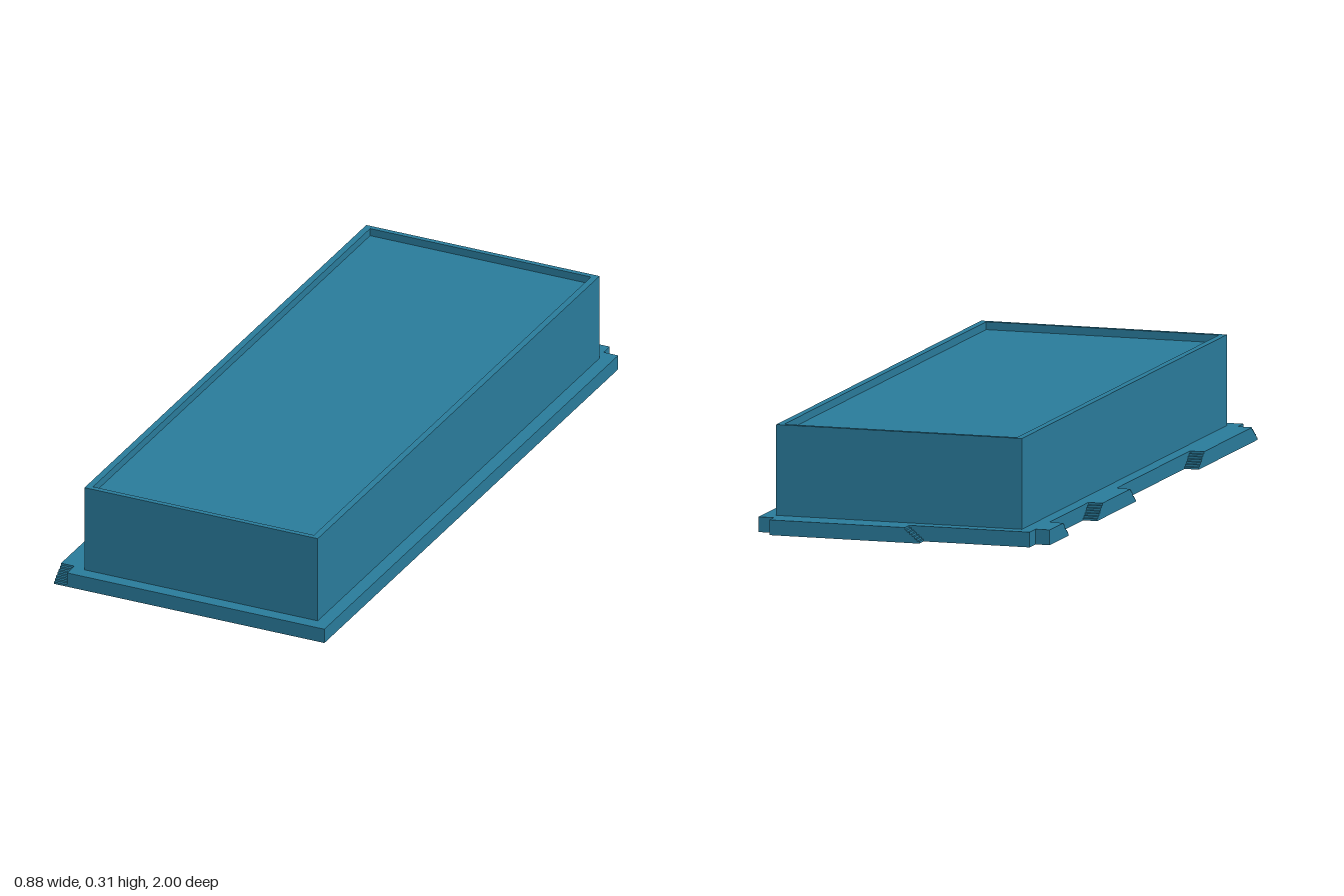
import * as THREE from 'three';

const RIM_Y = 0.045, TOP_Y = 0.313, STEPS = 7;
const material = new THREE.MeshStandardMaterial({ color: 0x2a7c9c, flatShading: true, side: THREE.DoubleSide });

// Corner loop of a rectangle in plan, as [x, z]
const rect = (x0, x1, z0, z1) => [[x0, z0], [x0, z1], [x1, z1], [x1, z0]];

function mesh(name, geometry) {
  const m = new THREE.Mesh(geometry, material);
  m.name = name;
  return m;
}

// Horizontal sheet facing up, with an optional opening
function sheet(name, outline, y, hole) {
  const toPoints = (loop) => loop.map(([x, z]) => new THREE.Vector2(x, -z));
  const shape = new THREE.Shape(toPoints(outline));
  if (hole) shape.holes.push(new THREE.Path(toPoints(hole)));
  return mesh(name, new THREE.ShapeGeometry(shape).rotateX(-Math.PI / 2).translate(0, y, 0));
}

// Strip swept between two matching rows of 3D points
function strip(name, rowA, rowB) {
  const pos = [];
  for (let i = 0; i + 1 < rowA.length; i++) {
    pos.push(...rowA[i], ...rowA[i + 1], ...rowB[i + 1], ...rowA[i], ...rowB[i + 1], ...rowB[i]);
  }
  const g = new THREE.BufferGeometry();
  g.setAttribute('position', new THREE.Float32BufferAttribute(pos, 3));
  g.computeVertexNormals();
  return mesh(name, g);
}

// Closed vertical wall around a plan loop
function wall(name, loop, y0, y1) {
  const ring = [...loop, loop[0]];
  return strip(name, ring.map(([x, z]) => [x, y0, z]), ring.map(([x, z]) => [x, y1, z]));
}

// Hollow edge tab running a..b along u and standing out by depth along v;
// each end is either a small staircase ramp or a plain upright end
function tab(name, a, b, depth, run, rampA, rampB) {
  const profile = [];
  const stairs = [];
  for (let i = 0; i < STEPS; i++) {
    const d = (run * i) / STEPS;
    stairs.push([d, (RIM_Y * i) / STEPS], [d, (RIM_Y * (i + 1)) / STEPS]);
  }
  stairs.push([run, RIM_Y]);
  const upright = [[0, 0], [0, RIM_Y]];
  for (const [d, y] of rampA ? stairs : upright) profile.push([a + d, y]);
  for (const [d, y] of (rampB ? [...stairs] : [...upright]).reverse()) profile.push([b - d, y]);

  const group = new THREE.Group();
  group.name = name;
  // top skin following the profile
  group.add(strip('tabTop', profile.map(([u, y]) => [0, y, u]), profile.map(([u, y]) => [-depth, y, u])));
  // outer face
  const face = new THREE.Shape(profile.map(([u, y]) => new THREE.Vector2(u, y)));
  group.add(mesh('tabFace', new THREE.ShapeGeometry(face).rotateY(-Math.PI / 2).translate(-depth, 0, 0)));
  return group;
}

export function createModel() {
  const model = new THREE.Group();
  model.name = 'cover';

  const rimOuter = rect(-0.395, 0.437, -0.96, 1.0);
  const boxOuter = rect(-0.358, 0.396, -0.92, 0.96);
  const boxInner = rect(-0.338, 0.376, -0.904, 0.944);

  // Flange: top plate with a hanging lip
  model.add(sheet('flangePlate', rimOuter, RIM_Y, boxOuter));
  model.add(wall('flangeLip', rimOuter, 0, RIM_Y));

  // Box: thin walls, raised top border, sunken panel and ceiling
  model.add(wall('boxWalls', boxOuter, RIM_Y, TOP_Y));
  model.add(sheet('topBorder', boxOuter, TOP_Y, boxInner));
  model.add(wall('borderInside', boxInner, 0.29, TOP_Y));
  model.add(sheet('topPanel', boxInner, 0.29));
  model.add(sheet('ceiling', boxOuter, 0.28));

  // Tabs along the right edge
  const sideTabs = [[-0.905, -0.73, false, true], [-0.47, -0.115, true, true], [0.46, 1.0, true, true]];
  sideTabs.forEach(([a, b, rampA, rampB], i) => {
    const t = tab('sideTab' + (i + 1), a, b, 0.043, 0.057, rampA, rampB);
    t.position.x = -0.395;
    model.add(t);
  });

  // Tab on the back edge, turned a quarter so its length follows x
  const back = tab('backTab', -0.39, 0.07, 0.04, 0.052, false, true);
  back.rotation.y = -Math.PI / 2;
  back.position.z = -0.96;
  model.add(back);

  return model;
}
